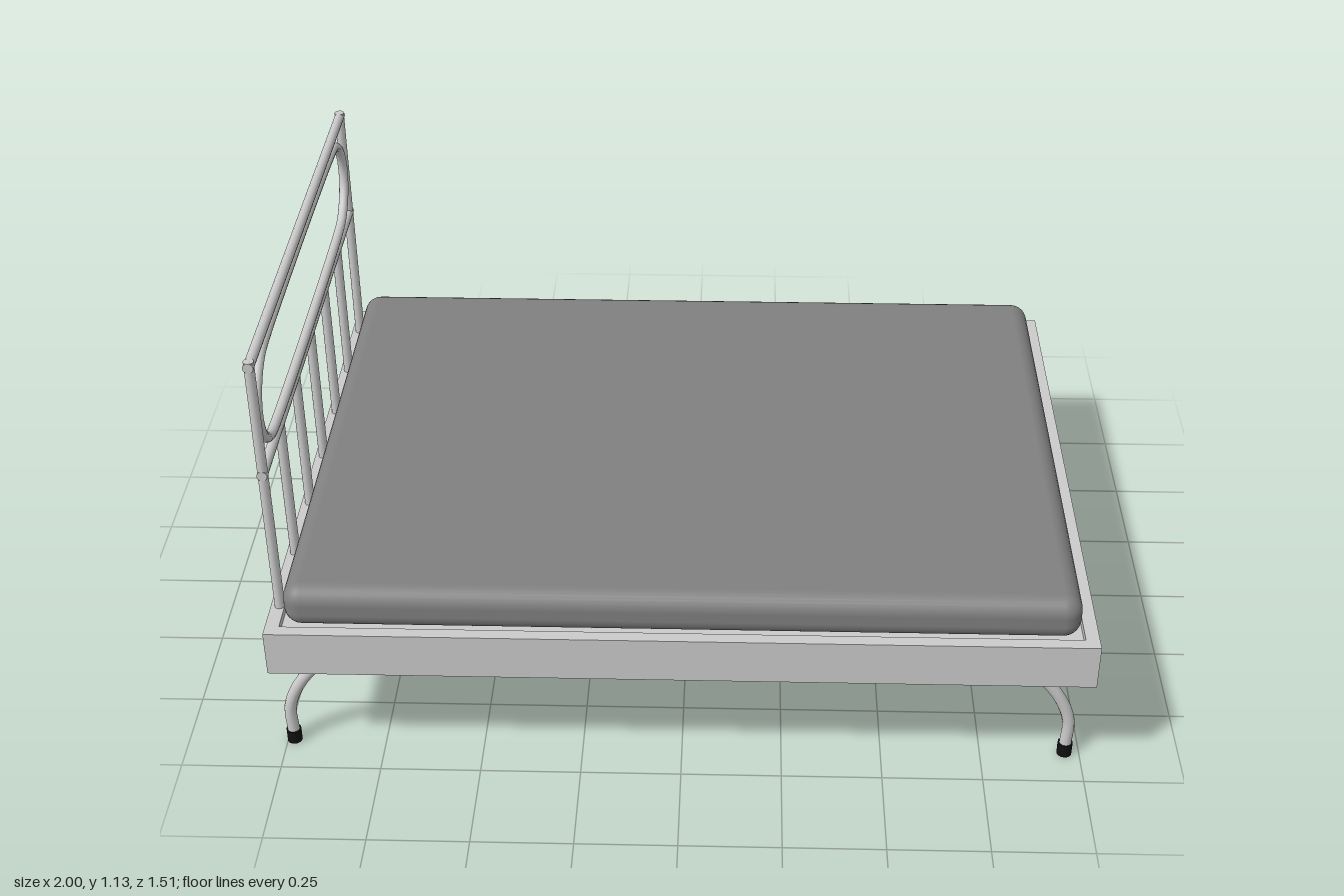
import * as THREE from 'three';
import { RoundedBoxGeometry } from 'three/addons/geometries/RoundedBoxGeometry.js';

const metal = new THREE.MeshStandardMaterial({ color: 0xcccccc });
const fabric = new THREE.MeshStandardMaterial({ color: 0x808080 });
const rubber = new THREE.MeshStandardMaterial({ color: 0x111111 });
const V = (x, y, z) => new THREE.Vector3(x, y, z);

function add(parent, name, geometry, material = metal) {
  const mesh = new THREE.Mesh(geometry, material);
  mesh.name = name;
  parent.add(mesh);
  return mesh;
}

// Straight capped rod between two points
function rod(parent, name, a, b, r, material = metal) {
  const mesh = add(parent, name, new THREE.CylinderGeometry(r, r, a.distanceTo(b), 12), material);
  mesh.position.copy(a).lerp(b, 0.5);
  mesh.quaternion.setFromUnitVectors(V(0, 1, 0), b.clone().sub(a).normalize());
  return mesh;
}

// Bent tube through a list of points
function bentTube(parent, name, points, r, segments, closed = false) {
  const curve = new THREE.CatmullRomCurve3(points, closed, 'centripetal');
  return add(parent, name, new THREE.TubeGeometry(curve, segments, r, 12, closed));
}

function rectangle(PathType, w, d) {
  return new PathType([[-w, -d], [w, -d], [w, d], [-w, d]].map(([x, y]) => new THREE.Vector2(x, y)));
}

export function createModel() {
  const bed = new THREE.Group();
  bed.name = 'bed';

  // Bed frame: a rim around a recessed base
  const frame = new THREE.Group();
  frame.name = 'frame';
  bed.add(frame);
  const rimShape = rectangle(THREE.Shape, 1, 0.757);
  rimShape.holes.push(rectangle(THREE.Path, 0.966, 0.726));
  const rim = add(frame, 'rim', new THREE.ExtrudeGeometry(rimShape, { depth: 0.12, bevelEnabled: false }).rotateX(-Math.PI / 2));
  rim.position.y = 0.31;
  add(frame, 'base', new THREE.BoxGeometry(1.932, 0.1, 1.452)).position.y = 0.36;

  // Mattress resting in the recess
  add(bed, 'mattress', new RoundedBoxGeometry(1.92, 0.115, 1.43, 3, 0.045), fabric).position.y = 0.4675;

  // Headboard of metal tubes
  const headboard = new THREE.Group();
  headboard.name = 'headboard';
  headboard.position.x = -0.978;
  bed.add(headboard);
  const r = 0.0128;
  for (const s of [-1, 1]) rod(headboard, 'post', V(0, 0.41, s * 0.645), V(0, 1.13, s * 0.645), r);
  rod(headboard, 'topRail', V(0, 1.118, -0.658), V(0, 1.118, 0.658), r);
  rod(headboard, 'middleRail', V(0, 0.821, -0.658), V(0, 0.821, 0.658), r);
  for (let i = -2; i <= 2; i++) {
    rod(headboard, 'spindle', V(0, 0.41, i * 0.215), V(0, 0.82, i * 0.215), r);
  }

  // Oval loop between the rails
  const loop = [];
  for (const s of [1, -1]) {
    for (let i = 0; i <= 8; i++) {
      const a = (i / 8) * Math.PI;
      loop.push(V(0, 0.967 + s * 0.12 * Math.cos(a), s * (0.487 + 0.135 * Math.sin(a))));
    }
  }
  bentTube(headboard, 'ovalLoop', loop, r, 120, true);

  // Side runners bent down into legs, with rubber feet
  const bend = [[0.973, 0.03], [0.973, 0.115], [0.927, 0.21], [0.85, 0.28], [0.77, 0.289], [0.6, 0.289]];
  for (const z of [-0.645, 0.645]) {
    const runner = new THREE.Group();
    runner.name = 'legRunner';
    runner.position.set(-0.01, 0, z);
    bed.add(runner);
    const left = bend.map(([x, y]) => V(-x, y, 0));
    const right = bend.map(([x, y]) => V(x, y, 0)).reverse();
    bentTube(runner, 'legTube', [...left, ...right], 0.0155, 90);
    for (const s of [-1, 1]) rod(runner, 'foot', V(s * 0.973, 0, 0), V(s * 0.973, 0.036, 0), 0.019, rubber);
  }

  return bed;
}
